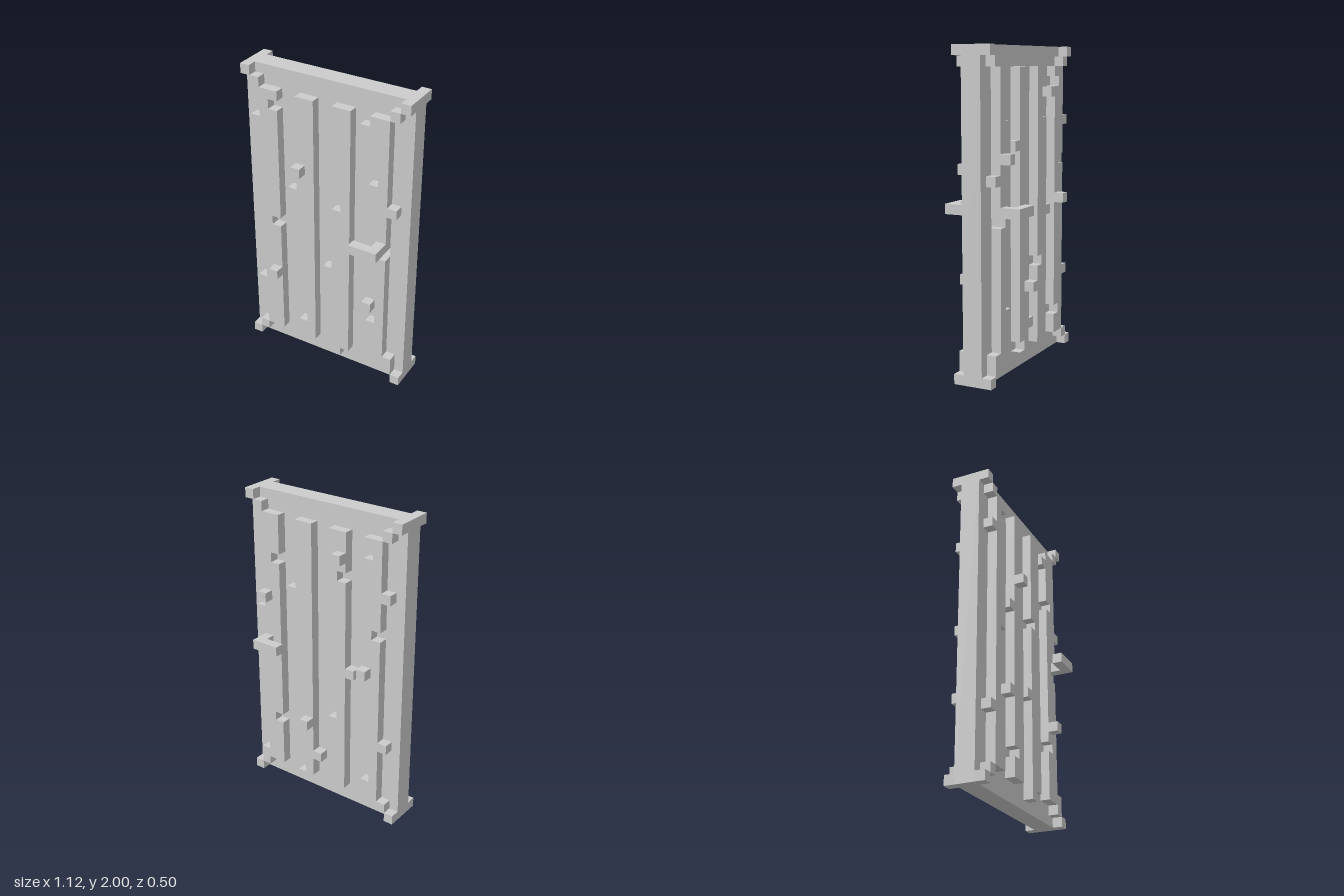
import * as THREE from 'three';

const U = 1 / 16; // grid unit
const material = new THREE.MeshStandardMaterial({ color: 0xcccccc, flatShading: true });

function addMesh(parent, geometry, name) {
  const mesh = new THREE.Mesh(geometry, material);
  mesh.name = name;
  parent.add(mesh);
  return mesh;
}

// Block given by its low corner and size, in grid units
function block(parent, name, x, y, z, w = 1, h = 1, d = 1) {
  const geometry = new THREE.BoxGeometry(w * U, h * U, d * U);
  geometry.translate((x + w / 2) * U, (y + h / 2) * U, (z + d / 2) * U);
  return addMesh(parent, geometry, name);
}

function extrude(shape, z, depth) {
  const geometry = new THREE.ExtrudeGeometry(shape, { depth, bevelEnabled: false });
  geometry.translate(0, 0, z);
  geometry.scale(U, U, U);
  return geometry;
}

// Raised plank; each jog [y, dx] shifts one unit of that edge sideways
function plank(parent, x, leftJogs, rightJogs) {
  const edge = (x0, jogs) => {
    const pts = [[x0, 2]];
    for (const [y, dx] of [...jogs].sort((a, b) => a[0] - b[0])) {
      pts.push([x0, y], [x0 + dx, y], [x0 + dx, y + 1], [x0, y + 1]);
    }
    pts.push([x0, 30]);
    return pts;
  };
  const outline = [...edge(x + 2, rightJogs), ...edge(x, leftJogs).reverse()];
  const shape = new THREE.Shape(outline.map(([a, b]) => new THREE.Vector2(a, b)));
  addMesh(parent, extrude(shape, 1, 1), 'plank');
}

// Everything raised from one face of the door, facing +z
function face(name, { planks, knobs, handleX, stemX, extras }) {
  const group = new THREE.Group();
  group.name = name;
  planks.forEach(([x, left, right]) => plank(group, x, left, right));
  for (const s of [-1, 1]) {
    const outer = s < 0 ? -9 : 8;
    const inner = s < 0 ? -8 : 7;
    for (const y of [0, 31]) block(group, 'cornerBlock', outer, y, 1);
    for (const y of [1, 30]) block(group, 'innerCornerBlock', inner, y, 1);
  }
  knobs.forEach(([x, y]) => block(group, 'stud', x, y, 2));
  extras.forEach(([x, y]) => block(group, 'chip', x, y, 1));
  block(group, 'handleStem', stemX, 16, 2);
  block(group, 'handleBar', handleX, 16, 3, 3);
  return group;
}

export function createModel() {
  const model = new THREE.Group();
  model.name = 'door';

  // Door slab with the keyhole cut through
  const slab = new THREE.Shape([[-9, 0], [9, 0], [9, 32], [-9, 32]].map(p => new THREE.Vector2(...p)));
  slab.holes.push(new THREE.Path([[6, 15], [6, 16], [7, 16], [7, 15]].map(p => new THREE.Vector2(...p))));
  addMesh(model, extrude(slab, -1, 2), 'slab');

  model.add(face('frontFace', {
    planks: [
      [-7, [[7, -1], [26, -1]], [[15, -1], [28, -1]]],
      [-3, [[4, 1], [19, -1]], []],
      [1, [[11, -1], [19, 1]], []],
      [5, [[7, 1], [23, 1], [28, -1]], [[15, -1], [20, 1]]],
    ],
    knobs: [[-6, 9], [-3, 22], [5, 9]],
    extras: [[1, 1], [7, 2]],
    handleX: 4,
    stemX: 6,
  }));

  // The back is laid out as seen from behind, then turned round
  const back = face('backFace', {
    planks: [
      [-7, [[15, 1], [19, -1]], [[7, -1], [25, -1]]],
      [-3, [[2, 1], [22, -1]], [[4, 1]]],
      [1, [[10, 1]], [[15, 1], [25, -1]]],
      [5, [[4, 1], [28, 1]], [[8, 1], [20, -1], [24, 1]]],
    ],
    knobs: [[-7, 21], [2, 27], [-2, 8], [5, 16]],
    extras: [[-8, 2]],
    handleX: -7,
    stemX: -7,
  });
  back.rotation.y = Math.PI;
  model.add(back);

  return model;
}
